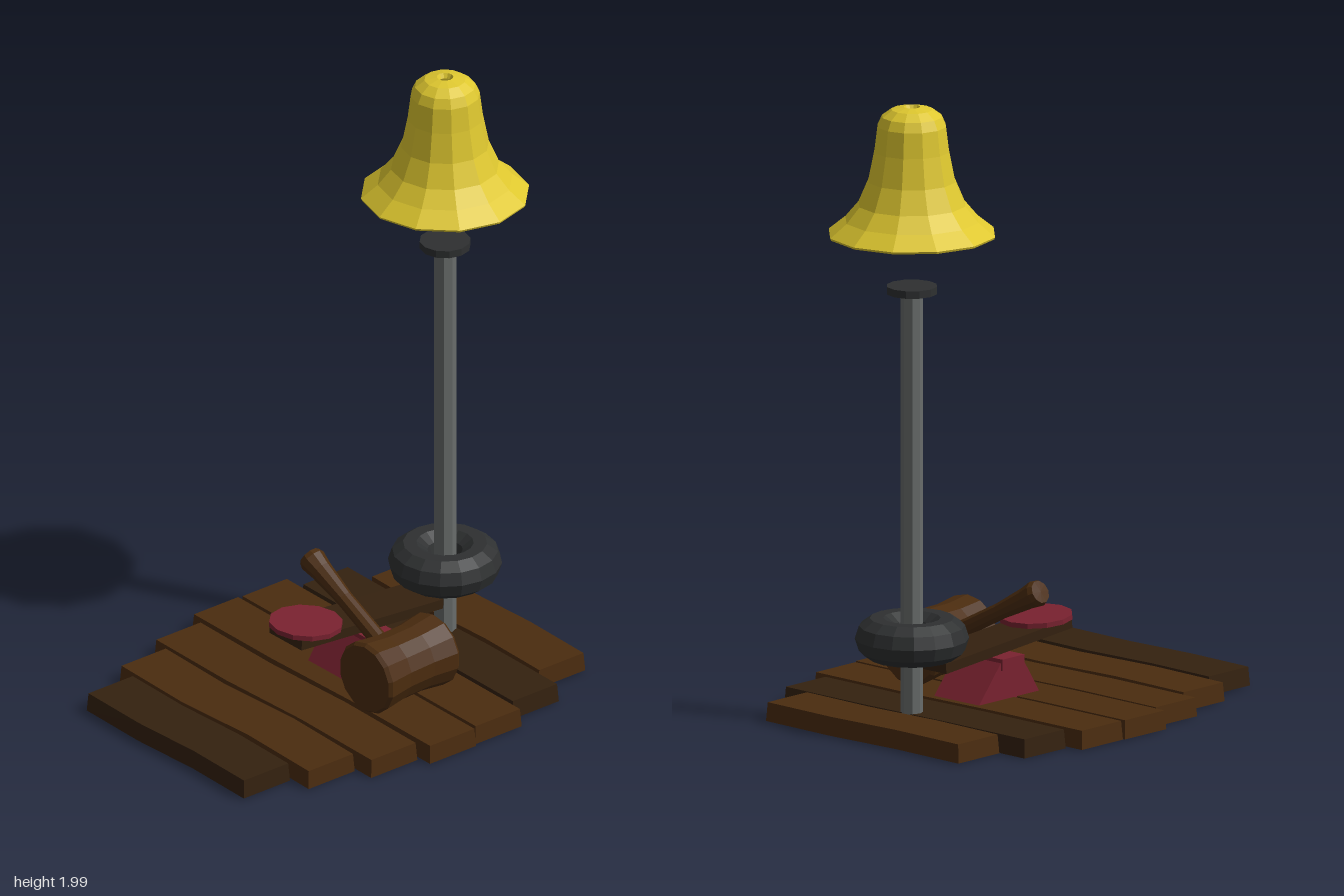
import * as THREE from 'three';

const mat = (name, color, side = THREE.FrontSide) =>
  Object.assign(new THREE.MeshStandardMaterial({ color, flatShading: true, side }), { name });

export function createModel() {
  const wood = mat('wood', 0x4b2c0f);
  const darkWood = mat('dark wood', 0x34210f);
  const gold = mat('gold', 0xdec72f, THREE.DoubleSide);
  const red = mat('red', 0x7a2230);
  const steel = mat('steel', 0x686c6b);
  const rubber = mat('rubber', 0x2e3031);

  const model = new THREE.Group();
  model.name = 'bellStriker';
  const add = (name, geo, material, x = 0, y = 0, z = 0, parent = model) => {
    const mesh = new THREE.Mesh(geo, material);
    mesh.name = name;
    mesh.position.set(x, y, z);
    parent.add(mesh);
    return mesh;
  };

  // Deck planks: gently wavy boxes with eased top edges
  const planks = [ // left end, right end, z centre, wave, bottom
    [-0.415, 0.405, -0.572, 0.006, 0.01, wood],
    [-0.515, 0.508, -0.378, 0.004, 0.008, darkWood],
    [-0.573, 0.565, -0.180, 0.004, 0.01, wood],
    [-0.577, 0.575, 0.013, 0.004, 0.01, wood],
    [-0.525, 0.527, 0.210, 0.006, 0.008, wood],
    [-0.458, 0.462, 0.408, 0.009, 0.01, wood],
    [-0.380, 0.384, 0.606, 0.006, 0.012, darkWood],
  ];
  const deck = new THREE.Group();
  deck.name = 'deck';
  model.add(deck);
  for (const [x0, x1, z, wave, base, material] of planks) {
    const length = x1 - x0;
    const geo = new THREE.BoxGeometry(length, 0.06, 0.187, 3, 1, 1);
    const p = geo.attributes.position;
    for (let i = 0; i < p.count; i++) {
      const t = p.getX(i) / length;
      const ease = p.getY(i) > 0 ? 0.004 : 0;
      p.setX(i, p.getX(i) - (Math.abs(t) > 0.4 ? Math.sign(t) * ease : 0));
      p.setZ(i, p.getZ(i) - Math.sign(p.getZ(i)) * ease - wave * Math.sin(t * 7));
    }
    add('plank', geo, material, (x0 + x1) / 2, base + 0.03, z, deck);
  }

  // Pole with its top plate and the tyre around its foot
  const px = -0.006, pz = -0.44;
  add('pole', new THREE.CylinderGeometry(0.035, 0.035, 1.39, 8), steel, px, 0.715, pz);
  add('topPlate', new THREE.CylinderGeometry(0.08, 0.08, 0.024, 12), rubber, px, 1.417, pz);
  add('tyre', new THREE.TorusGeometry(0.11, 0.068, 10, 16).rotateX(Math.PI / 2), rubber, px, 0.304, pz);

  // Bell shell, open below, with a small hole in its crown
  const bellProfile = [
    [0.262, 1.590], [0.265, 1.597], [0.212, 1.640], [0.170, 1.690], [0.138, 1.765],
    [0.119, 1.860], [0.109, 1.940], [0.095, 1.970], [0.065, 1.992], [0.026, 2.0], [0.018, 1.985],
  ].map(([r, y]) => new THREE.Vector2(r, y));
  add('bell', new THREE.LatheGeometry(bellProfile, 12), gold, px, 0, pz);
  add('clapperRod', new THREE.CylinderGeometry(0.01, 0.01, 0.38, 6), gold, px, 1.79, pz);
  add('clapperBall', new THREE.SphereGeometry(0.046, 10, 8), gold, px, 1.575, pz);

  // Fulcrum: a sloped block with a slightly wider cap
  const side = new THREE.Shape([[0.25, 0.065], [0.145, 0.19], [0.05, 0.19], [-0.03, 0.065]]
    .map(([x, y]) => new THREE.Vector2(x, y)).reverse());
  const block = new THREE.ExtrudeGeometry(side, { depth: 0.19, bevelEnabled: false });
  block.translate(0, 0, -0.095).rotateY(Math.PI / 2);
  add('fulcrum', block, red, -0.015, 0, 0);
  add('fulcrumCap', new THREE.BoxGeometry(0.204, 0.036, 0.1), red, -0.015, 0.182, -0.097);

  // Lever and the round strike pad on its raised end
  const lever = add('lever', new THREE.BoxGeometry(0.155, 0.032, 0.575), darkWood, -0.01, 0.228, -0.085);
  lever.rotation.x = -0.08;
  const pad = add('strikePad', new THREE.CylinderGeometry(0.116, 0.116, 0.016, 12), red, -0.008, 0.274, 0.122);
  pad.rotation.x = -0.06;

  // Mallet: waisted head lying on the deck, tapered handle leaning up to the side
  const mallet = new THREE.Group();
  mallet.name = 'mallet';
  model.add(mallet);
  const headProfile = [[0, -0.152], [0.110, -0.152], [0.119, -0.14], [0.108, -0.05], [0.108, 0.05],
    [0.119, 0.14], [0.110, 0.152], [0, 0.152]].map(([r, y]) => new THREE.Vector2(r, y));
  const head = add('malletHead', new THREE.LatheGeometry(headProfile, 14).rotateX(Math.PI / 2),
    wood, 0.252, 0.184, -0.04, mallet);
  head.rotation.y = 0.07;

  const handleProfile = [[0, 0], [0.028, 0], [0.027, 0.28], [0.036, 0.40], [0.043, 0.445],
    [0.037, 0.462], [0, 0.464]].map(([r, y]) => new THREE.Vector2(r, y));
  const handle = add('malletHandle', new THREE.LatheGeometry(handleProfile, 10), wood, 0.25, 0.184, -0.036, mallet);
  const lean = new THREE.Vector3(-0.41, 0.218, 0.018).normalize();
  handle.quaternion.setFromUnitVectors(new THREE.Vector3(0, 1, 0), lean);

  return model;
}
